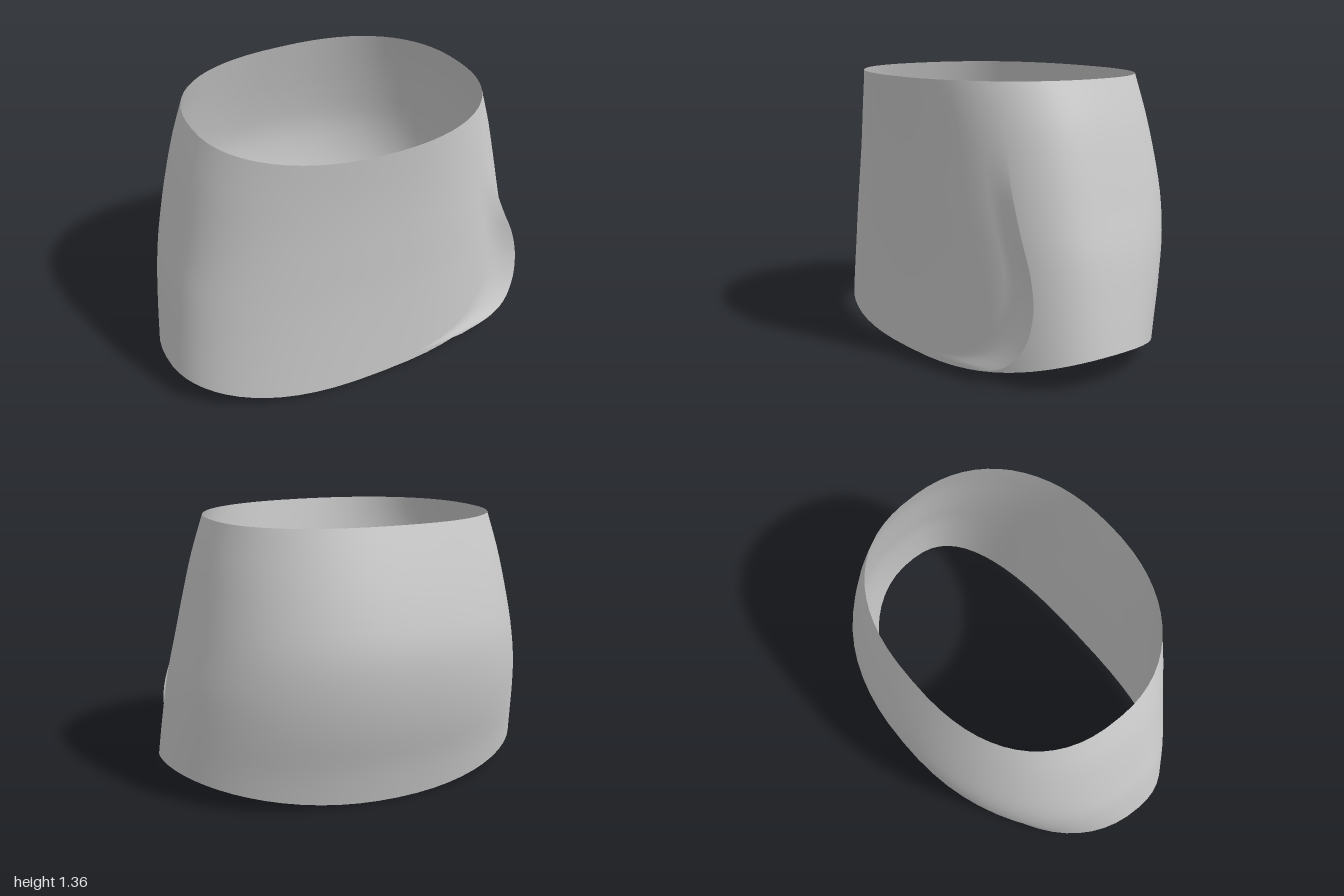
import * as THREE from 'three';
import { mergeVertices } from 'three/addons/utils/BufferGeometryUtils.js';

const TOP = 1.365;
const lerp = THREE.MathUtils.lerp;

// half width, back depth and front depth at even heights from hem to waist
const stations = [
  [1.01, -0.51, 0.61], [0.99, -0.56, 0.612], [0.965, -0.62, 0.615], [0.935, -0.66, 0.62],
  [0.89, -0.67, 0.63], [0.845, -0.635, 0.64], [0.795, -0.585, 0.655], [0.73, -0.53, 0.675],
];
const profile = new THREE.CatmullRomCurve3(
  stations.map((s) => new THREE.Vector3(...s)), false, 'catmullrom', 0.5);

function sectionAt(y) {
  const t = THREE.MathUtils.clamp(y / TOP, 0, 1);
  const p = profile.getPoint(t);
  return { w: p.x, back: p.y, front: p.z, mid: lerp(0.15, 0.07, t), nFront: lerp(2.5, 2.2, t), nBack: lerp(2.1, 2.4, t) };
}

// z of the front cloth at a given x and height
function frontZ(x, y) {
  const s = sectionAt(y);
  const k = Math.max(0, 1 - Math.pow(Math.abs(x) / s.w, s.nFront));
  return s.mid + (s.front - s.mid) * Math.pow(k, 1 / s.nFront);
}

// smooth sheet from a point rule f(u, v)
function sheet(f, nu, nv) {
  const pos = [], index = [];
  for (let j = 0; j <= nv; j++) {
    for (let i = 0; i <= nu; i++) {
      pos.push(...f(i / nu, j / nv));
      if (i < nu && j < nv) {
        const a = j * (nu + 1) + i, c = a + nu + 1;
        index.push(a, a + 1, c, a + 1, c + 1, c);
      }
    }
  }
  const g = new THREE.BufferGeometry();
  g.setAttribute('position', new THREE.Float32BufferAttribute(pos, 3));
  g.setIndex(index);
  const merged = mergeVertices(g, 1e-5);
  merged.computeVertexNormals();
  return merged;
}

// closed tube of cloth, hem rising towards the sides
function skirtPoint(u, v) {
  const a = u * Math.PI * 2, sx = Math.sin(a), cz = Math.cos(a);
  const hem = 0.005 + 0.145 * sx * sx;
  const y = lerp(hem, TOP, v);
  const s = sectionAt(y);
  const n = cz >= 0 ? s.nFront : s.nBack;
  const depth = cz >= 0 ? s.front - s.mid : s.mid - s.back;
  const bend = (c) => Math.sign(c) * Math.pow(Math.abs(c), 2 / n);
  return [s.w * bend(sx), y, s.mid + depth * bend(cz)];
}

// free edge of the wrap-over, from hem to its closing point
const flapEdge = new THREE.CatmullRomCurve3([
  [0.5, 0.045, 0.6], [0.68, 0.085, 0.59], [0.78, 0.14, 0.572], [0.85, 0.24, 0.54], [0.87, 0.38, 0.515],
  [0.84, 0.53, 0.505], [0.76, 0.71, 0.5], [0.67, 0.95, 0.49], [0.61, 1.26, 0.467],
].map((p) => new THREE.Vector3(...p)));

// overlap lifts off the skirt towards its edge
function flapPoint(u, v) {
  const e = flapEdge.getPoint(v);
  const x = e.x - lerp(0.32, 0.08, v) * (1 - u);
  const lift = Math.max(0.004, e.z - frontZ(e.x, e.y));
  return [x, e.y, frontZ(x, e.y) + 0.003 + (lift - 0.003) * u * u];
}

export function createModel() {
  const group = new THREE.Group();
  group.name = 'wrapSkirt';
  const cloth = new THREE.MeshStandardMaterial({ color: 0xcccccc, side: THREE.DoubleSide });
  const add = (name, geometry) => {
    const mesh = new THREE.Mesh(geometry, cloth);
    mesh.name = name;
    group.add(mesh);
  };
  add('skirtBody', sheet(skirtPoint, 64, 20));
  add('frontFlap', sheet(flapPoint, 10, 28));
  return group;
}
